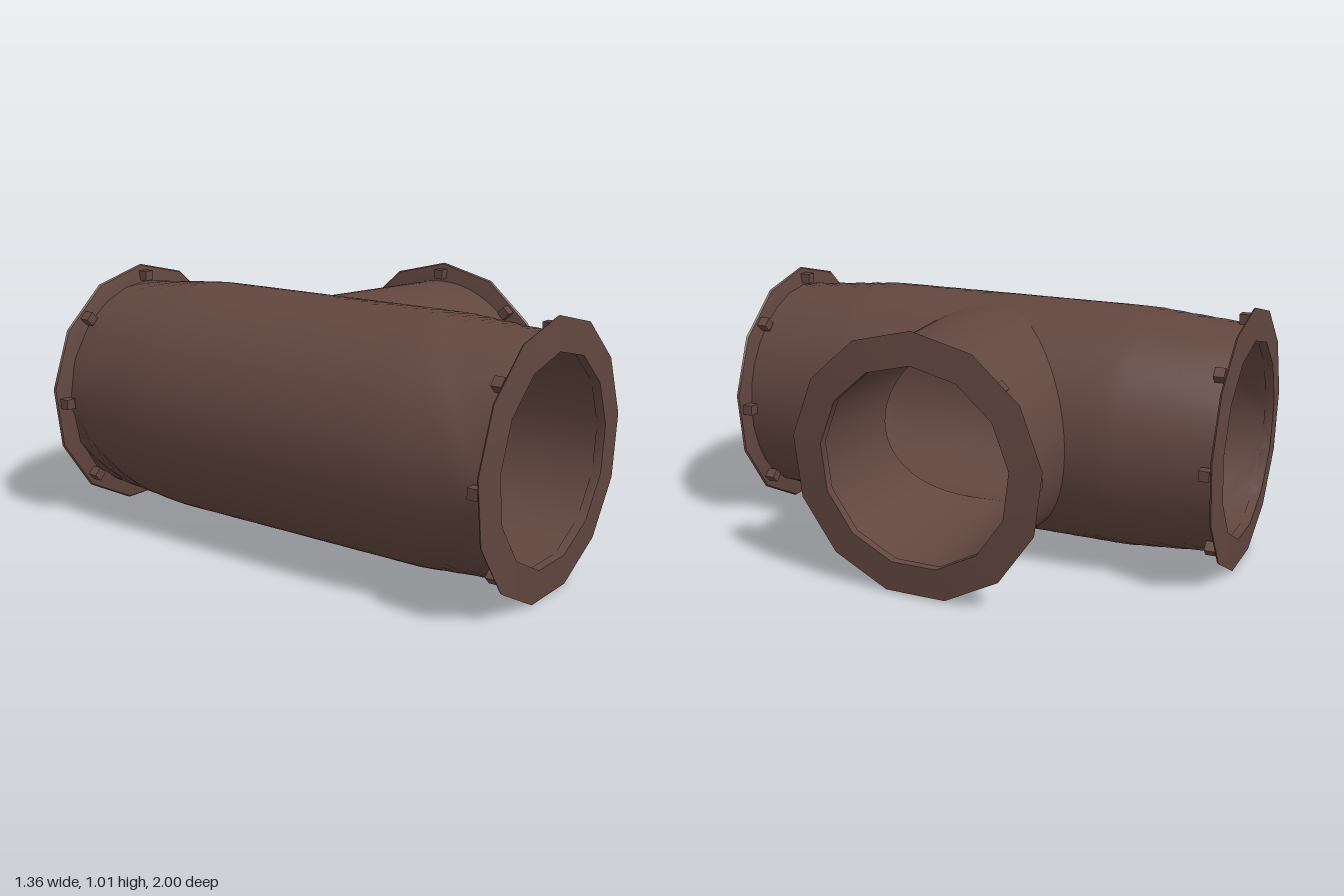
import * as THREE from 'three';
import { mergeVertices, toCreasedNormals } from 'three/addons/utils/BufferGeometryUtils.js';

const iron = new THREE.MeshStandardMaterial({ color: 0x62463f });
iron.name = 'rusty brown iron';

const lerp = THREE.MathUtils.lerp;
const CX = -0.175, CY = 0.515; // axis of the main pipe

// Closed strip of quads: point(t, s), t runs around, s runs along
function loft(point, around, along, flip) {
  const pos = [], idx = [];
  for (let i = 0; i <= along; i++) {
    for (let j = 0; j < around; j++) pos.push(...point(j / around * Math.PI * 2, i / along));
  }
  for (let i = 0; i < along; i++) {
    for (let j = 0; j < around; j++) {
      const k = (j + 1) % around;
      const a = i * around + j, b = a + around, c = (i + 1) * around + k, d = i * around + k;
      if (flip) idx.push(a, c, b, a, d, c);
      else idx.push(a, b, c, a, c, d);
    }
  }
  let geo = new THREE.BufferGeometry();
  geo.setAttribute('position', new THREE.Float32BufferAttribute(pos, 3));
  geo.setIndex(idx);
  geo = mergeVertices(geo, 1e-4);
  geo.computeVertexNormals();
  return geo;
}

// Wall of the main pipe, wrapped round z, with a hole for the branch on +x
function mainWall(R, endR, len, holeY, holeZ, flip) {
  return loft((t, s) => {
    const c = Math.cos(t), n = Math.sin(t), m = Math.max(Math.abs(c), Math.abs(n));
    const z = lerp(holeZ * c, len * c / m, s);
    const a = lerp(Math.asin(holeY * n / R), Math.PI * n / m, s);
    const k = Math.max(0, (Math.abs(z) - 0.58) / (len - 0.58));
    const r = lerp(R, endR, k);
    return [r * Math.cos(a), r * Math.sin(a), z];
  }, 96, 20, flip);
}

// Wall of the branch, from the saddle curve on the main pipe to a round end
function branchWall(R, holeY, holeZ, endR, endX, flip) {
  return loft((t, s) => {
    const y = holeY * Math.sin(t), z = holeZ * Math.cos(t);
    return [
      lerp(Math.sqrt(R * R - y * y), endX, s),
      lerp(y, endR * Math.sin(t), s),
      lerp(z, endR * Math.cos(t), s),
    ];
  }, 96, 6, flip);
}

function add(parent, name, geo) {
  const mesh = new THREE.Mesh(geo, iron);
  mesh.name = name;
  parent.add(mesh);
  return mesh;
}

// Thirteen-sided flange with eight bolts behind it; its outer face is at y = 0
function makeFlange(name) {
  const group = new THREE.Group();
  group.name = name;
  const profile = [
    [0.385, -0.035], [0.44, -0.03], [0.505, -0.016], [0.51, -0.009], [0.385, 0], [0.385, -0.035],
  ].map(([r, y]) => new THREE.Vector2(r, y));
  const ring = new THREE.LatheGeometry(profile, 13, Math.PI);
  add(group, 'flangeRing', toCreasedNormals(ring, 0.6));
  for (let i = 0; i < 8; i++) {
    const a = i / 8 * Math.PI * 2;
    const bolt = add(group, 'bolt', new THREE.BoxGeometry(0.04, 0.04, 0.04));
    bolt.position.set(0.465 * Math.sin(a), -0.042, 0.465 * Math.cos(a));
    bolt.rotation.y = a;
  }
  return group;
}

export function createModel() {
  const model = new THREE.Group();
  model.name = 'pipeTee';
  const body = new THREE.Group();
  body.name = 'pipeBody';
  body.position.set(CX, CY, 0);
  model.add(body);

  // Outer and inner walls
  add(body, 'mainPipeOuter', mainWall(0.47, 0.437, 0.98, 0.457, 0.43, true));
  add(body, 'mainPipeInner', mainWall(0.385, 0.385, 0.985, 0.37, 0.37, false));
  add(body, 'branchOuter', branchWall(0.47, 0.457, 0.43, 0.425, 0.83, false));
  add(body, 'branchInner', branchWall(0.385, 0.37, 0.37, 0.385, 0.84, true));

  // Flanges on the three open ends
  const ends = [
    ['frontFlange', 0, 0, 1, 1],
    ['backFlange', Math.PI, 0, -1, 1],
    ['branchFlange', Math.PI / 2, 0.85, 0, 0.985],
  ];
  for (const [name, turn, x, z, size] of ends) {
    const flange = makeFlange(name);
    flange.rotation.set(Math.PI / 2, turn, 0, 'YXZ');
    flange.position.set(x, 0, z);
    flange.scale.set(size, 1, size);
    body.add(flange);
  }
  return model;
}
